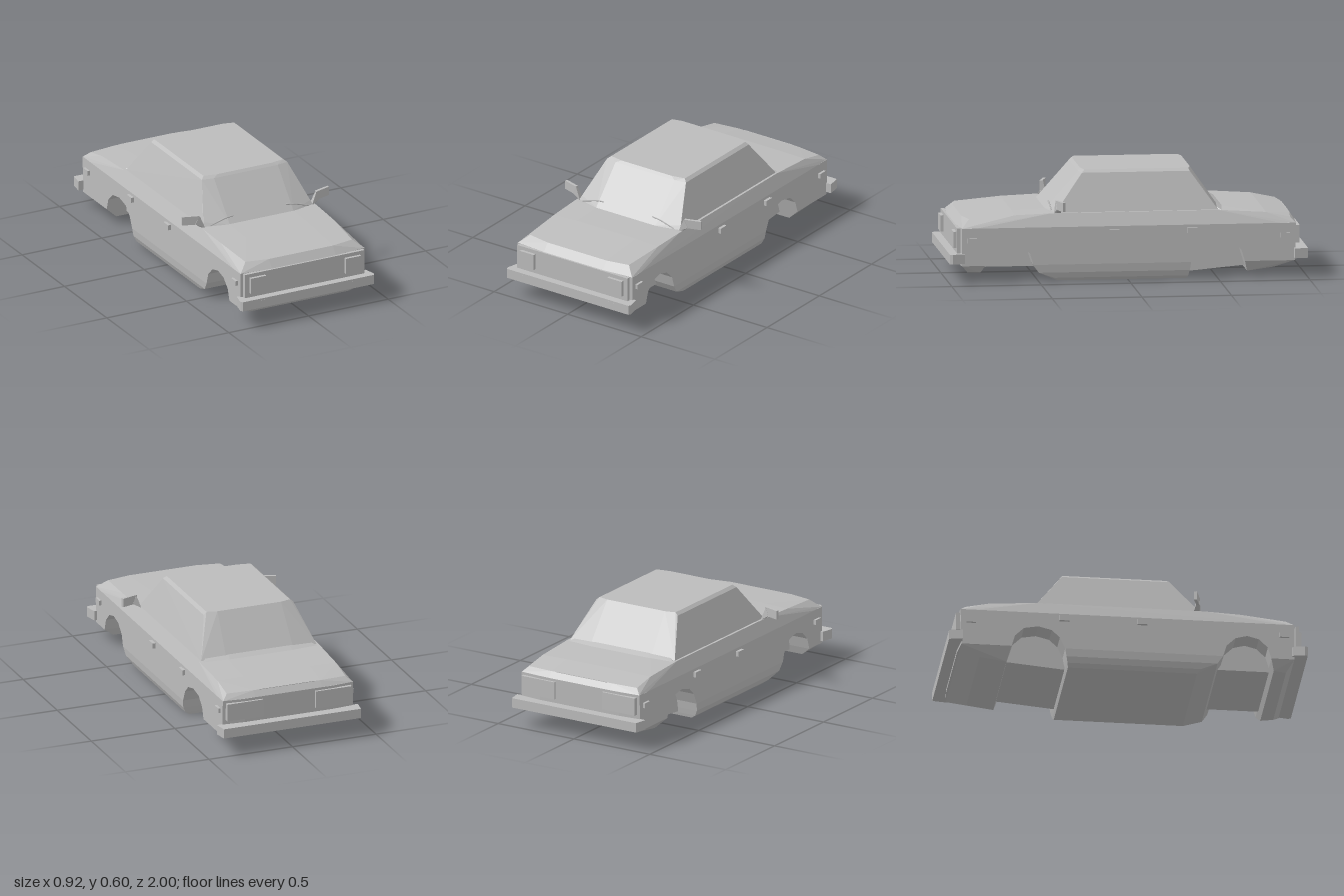
import * as THREE from 'three';
import { ConvexGeometry } from 'three/addons/geometries/ConvexGeometry.js';

export function createModel() {
  const car = new THREE.Group();
  car.name = 'saloonCarBody';
  const grey = new THREE.MeshStandardMaterial({ color: 0xbcbcbc });
  grey.name = 'body grey';

  const add = (name, geometry) => {
    const mesh = new THREE.Mesh(geometry, grey);
    mesh.name = name;
    car.add(mesh);
    return mesh;
  };
  // Convex solid from points given on the +x half and mirrored
  const hull = (name, half) => add(name, new ConvexGeometry(
    half.flatMap(([x, y, z]) => [new THREE.Vector3(x, y, z), new THREE.Vector3(-x, y, z)])));
  const box = (name, x, y, z, w, h, d) => {
    const mesh = add(name, new THREE.BoxGeometry(w, h, d));
    mesh.position.set(x, y, z);
    return mesh;
  };
  // Side profile of [z, y] points swept across x from x1 - width to x1
  const sweep = (profile, x1, width) => {
    const shape = new THREE.Shape(profile.map(p => new THREE.Vector2(...p)));
    return new THREE.ExtrudeGeometry(shape, { depth: width, bevelEnabled: false })
      .rotateY(-Math.PI / 2).translate(x1, 0, 0);
  };

  // Side panels with open wheel arches
  const frontArch = [[0.8, 0.095], [0.78, 0.16], [0.73, 0.208], [0.665, 0.225],
    [0.6, 0.208], [0.55, 0.16], [0.53, 0.095]];
  const rearArch = [[-0.35, 0.095], [-0.38, 0.16], [-0.425, 0.203], [-0.5, 0.222],
    [-0.58, 0.208], [-0.63, 0.16], [-0.65, 0.095]];
  const sideProfile = [[0.94, 0.305], [0.94, 0.095], ...frontArch, ...rearArch,
    [-0.94, 0.095], [-0.945, 0.305]];
  for (const [name, x1] of [['leftSidePanel', 0.39], ['rightSidePanel', -0.26]]) {
    const geo = sweep(sideProfile, x1, 0.13);
    const p = geo.attributes.position;
    for (let i = 0; i < p.count; i++) {
      // nose and tail are slightly bowed in plan
      if (Math.abs(p.getX(i)) > 0.3 && Math.abs(p.getZ(i)) > 0.9) p.setZ(i, p.getZ(i) * 0.988);
    }
    geo.computeVertexNormals();
    add(name, geo);
  }

  // Centre body between the wheel wells
  add('centreBody', sweep([[0.94, 0.305], [0.94, 0.095], [0.8, 0.095], [0.8, 0.07],
    [0.5, 0.07], [0.5, 0.095], [-0.34, 0.095], [-0.34, 0.025], [-0.67, 0.055],
    [-0.67, 0.095], [-0.94, 0.095], [-0.945, 0.305]], 0.26, 0.52));

  // Underbody: sill tub and the valances under nose and tail
  hull('sillTub', [[0.39, 0.095, 0.53], [0.385, 0.05, 0.5], [0.37, 0.018, 0.41],
    [0.345, 0, 0.39], [0.345, 0, -0.33], [0.37, 0.018, -0.335], [0.385, 0.05, -0.342],
    [0.39, 0.095, -0.35]]);
  hull('frontValance', [[0.385, 0.095, 0.928], [0.39, 0.095, 0.8],
    [0.31, 0.048, 0.89], [0.33, 0.048, 0.82]]);
  hull('rearValance', [[0.385, 0.095, -0.928], [0.39, 0.095, -0.65],
    [0.32, 0.03, -0.67], [0.32, 0.05, -0.82]]);

  // Bonnet, shoulders and boot lid
  hull('upperDeck', [[0.2, 0.305, 0.945], [0.387, 0.305, 0.929], [0.39, 0.305, 0.85],
    [0.2, 0.35, 0.91], [0.335, 0.35, 0.885], [0.353, 0.37, 0.63], [0.2, 0.375, 0.63],
    [0.357, 0.378, 0.43], [0.2, 0.382, 0.43], [0.357, 0.38, -0.5], [0.2, 0.382, -0.53],
    [0.355, 0.363, -0.77], [0.2, 0.366, -0.77], [0.355, 0.335, -0.905], [0.2, 0.338, -0.92],
    [0.39, 0.305, -0.85], [0.387, 0.305, -0.934], [0.2, 0.305, -0.945]]);

  // Cabin
  hull('cabin', [[0.2, 0.383, 0.445], [0.345, 0.375, 0.405], [0.335, 0.4, 0.39],
    [0.268, 0.588, 0.245], [0.2, 0.59, 0.26], [0.25, 0.603, 0.23], [0.17, 0.603, 0.245],
    [0.345, 0.38, -0.505], [0.335, 0.4, -0.485], [0.2, 0.39, -0.515],
    [0.268, 0.588, -0.355], [0.25, 0.603, -0.35], [0.19, 0.603, -0.365]]);
  hull('rearWindowLip', [[0.345, 0.378, -0.525], [0.19, 0.38, -0.545],
    [0.3, 0.398, -0.485], [0.18, 0.4, -0.505], [0.3, 0.375, -0.45]]);

  // Nose and tail details
  box('grillePanel', 0, 0.232, 0.945, 0.75, 0.145, 0.02);
  hull('frontBumper', [0.11, 0.165].flatMap(y => [[0.412, y, 1], [0.42, y, 0.985], [0.405, y, 0.915]]));
  hull('rearBumper', [0.11, 0.165].flatMap(y => [[0.41, y, -1], [0.422, y, -0.925], [0.3, y, -0.92]]));
  box('bootLidSeam', 0, 0.337, -0.918, 0.33, 0.004, 0.006);

  for (const s of [1, -1]) {
    const side = s > 0 ? 'left' : 'right';
    box(side + 'Headlight', s * 0.298, 0.237, 0.96, 0.096, 0.092, 0.025);
    box(side + 'FrontIndicator', s * 0.298, 0.14, 0.9965, 0.048, 0.028, 0.008);
    box(side + 'RearLight', s * 0.265, 0.24, -0.945, 0.215, 0.1, 0.025);
    for (const z of [0.872, -0.875]) box(side + 'SideMarker', s * 0.394, 0.238, z, 0.02, 0.028, 0.053);
    for (const z of [0.08, -0.355]) box(side + 'DoorHandle', s * 0.396, 0.274, z, 0.022, 0.03, 0.055);

    // Door mirror, swept slightly back, on a wedge mount
    const mirror = box(side + 'Mirror', s * 0.413, 0.425, 0.382, 0.097, 0.05, 0.016);
    mirror.rotation.y = s * 0.3;
    add(side + 'MirrorMount', new ConvexGeometry([[0.335, 0.375, 0.41], [0.345, 0.375, 0.37],
      [0.36, 0.38, 0.4], [0.366, 0.45, 0.405], [0.372, 0.45, 0.385], [0.39, 0.402, 0.4],
      [0.39, 0.402, 0.38]].map(([x, y, z]) => new THREE.Vector3(s * x, y, z))));

    // Wiper: bent thin arm lying on the windscreen
    const arm = new THREE.CurvePath();
    const pts = [[0.31, 0.385, 0.42], [0.215, 0.414, 0.422], [0.165, 0.419, 0.421]]
      .map(([x, y, z]) => new THREE.Vector3(s * x, y, z));
    arm.add(new THREE.LineCurve3(pts[0], pts[1]));
    arm.add(new THREE.LineCurve3(pts[1], pts[2]));
    add(side + 'Wiper', new THREE.TubeGeometry(arm, 8, 0.004, 4));
  }
  return car;
}
